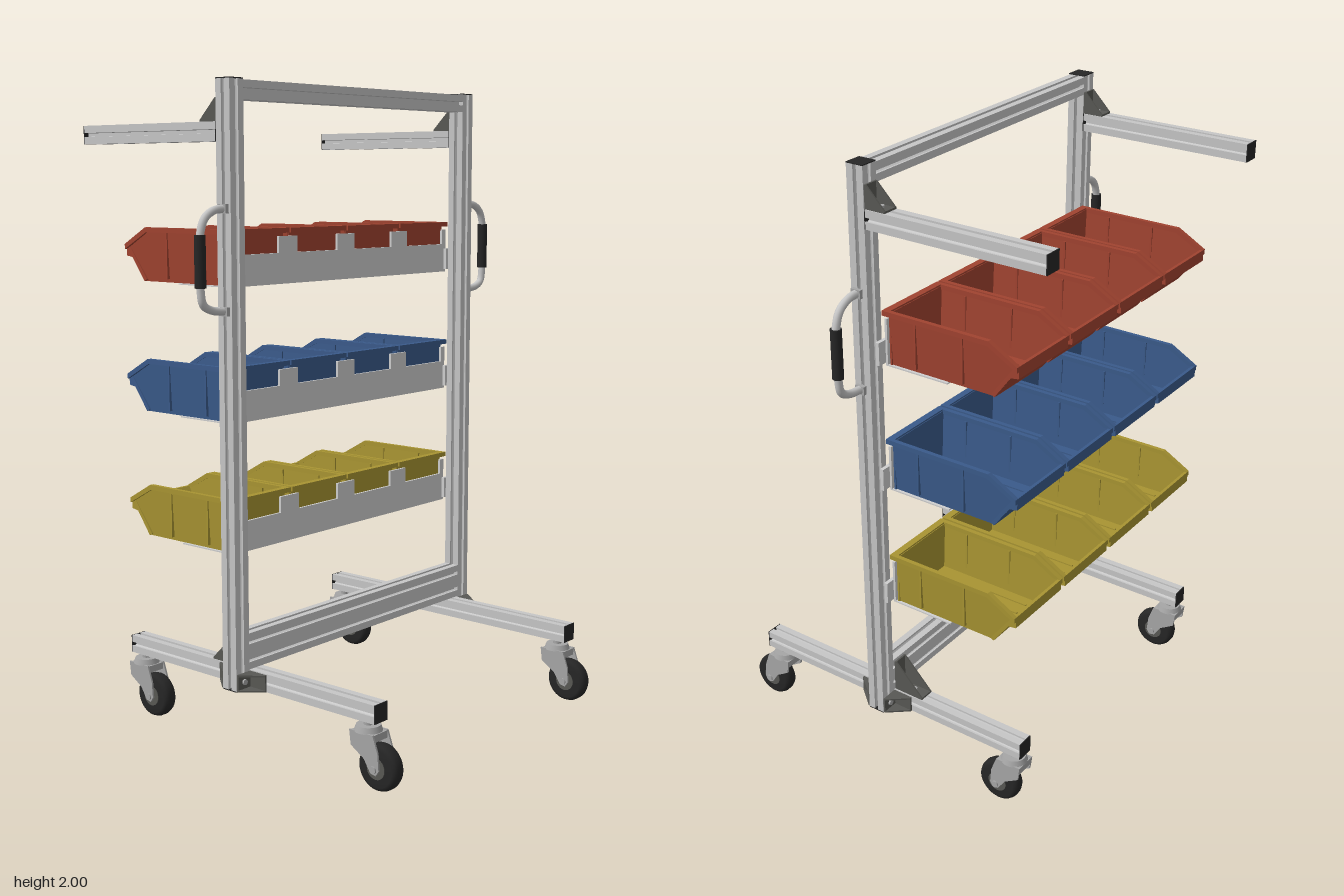
import * as THREE from 'three';

const material = (name, color) => {
  const m = new THREE.MeshStandardMaterial({ color });
  m.name = name;
  return m;
};

export function createModel() {
  const root = new THREE.Group();
  root.name = 'binTrolley';
  const aluminium = material('aluminium', 0xc6c6c6);
  const sheet = material('sheetGrey', 0xcfcfcf);
  const zinc = material('zincGrey', 0xa6a6a6);
  const black = material('black', 0x262626);
  const bracketGrey = material('bracketGrey', 0x585854);
  const red = material('red', 0xa04330);
  const blue = material('blue', 0x3a5a8a);
  const yellow = material('yellow', 0xa89432);

  const add = (parent, name, geo, mat, x = 0, y = 0, z = 0) => {
    const m = new THREE.Mesh(geo, mat);
    m.name = name;
    m.position.set(x, y, z);
    parent.add(m);
    return m;
  };
  const group = (name, parent = root) => {
    const g = new THREE.Group();
    g.name = name;
    parent.add(g);
    return g;
  };
  const box = (w, h, d) => new THREE.BoxGeometry(w, h, d);
  const cyl = (r, h, n = 24, r2 = r) => new THREE.CylinderGeometry(r2, r, h, n);
  const shapeOf = pts => new THREE.Shape(pts.map(p => new THREE.Vector2(...p)));
  // Flat outline in xy, thickened evenly about z = 0
  const prism = (shape, depth) => {
    const s = Array.isArray(shape) ? shapeOf(shape) : shape;
    return new THREE.ExtrudeGeometry(s, { depth, bevelEnabled: false }).translate(0, 0, -depth / 2);
  };

  // Slotted aluminium profile with optional black end caps
  const S = 0.056;
  const side = [[-0.028, -0.028], [-0.006, -0.028], [-0.006, -0.022], [-0.011, -0.022],
    [-0.005, -0.012], [0.005, -0.012], [0.011, -0.022], [0.006, -0.022], [0.006, -0.028]];
  const section = [];
  for (let k = 0; k < 4; k++) {
    const c = [1, 0, -1, 0][k], s = [0, 1, 0, -1][k];
    for (const [x, y] of side) section.push([x * c - y * s, x * s + y * c]);
  }
  const bar = (name, axis, from, to, pos, caps = true) => {
    const g = group(name);
    const len = to - from;
    add(g, 'profile', prism(section, len - (caps ? 0.006 : 0)), aluminium);
    if (caps) for (const e of [-1, 1]) add(g, 'endCap', box(S, S, 0.003), black, 0, 0, e * (len / 2 - 0.0015));
    if (axis === 'x') g.rotation.y = Math.PI / 2;
    if (axis === 'y') g.rotation.x = -Math.PI / 2;
    g.position.set(...pos);
    g.position[axis] = (from + to) / 2;
  };

  // Angle bracket: two legs along directions u and v, closed by triangular cheeks
  const gusset = (name, pos, u, v, size, width, size2 = size) => {
    const g = group(name);
    const t = 0.006;
    add(g, 'legU', box(size, t, width), bracketGrey, size / 2, t / 2, 0);
    add(g, 'legV', box(t, size2, width), bracketGrey, t / 2, size2 / 2, 0);
    for (const e of [-1, 1]) {
      add(g, 'cheek', prism([[0, 0], [size, 0], [size, t], [t, size2], [0, size2]], 0.005),
        bracketGrey, 0, 0, e * (width / 2 - 0.0025));
    }
    add(g, 'screw', cyl(0.009, 0.008, 12), zinc, size * 0.55, t + 0.002, 0);
    const U = new THREE.Vector3(...u), V = new THREE.Vector3(...v);
    g.setRotationFromMatrix(new THREE.Matrix4().makeBasis(U, V, U.clone().cross(V)));
    g.position.set(...pos);
  };

  // Swivel caster, trailing towards +x
  const caster = (x, z) => {
    const g = group('caster');
    g.position.set(x, 0, z);
    add(g, 'stem', cyl(0.014, 0.03), zinc, 0, 0.19, 0);
    add(g, 'swivelHead', cyl(0.042, 0.018, 24, 0.036), zinc, 0, 0.176, 0);
    add(g, 'forkCrown', box(0.085, 0.022, 0.068), zinc, 0.002, 0.157, 0);
    const cheek = [[-0.042, 0.17], [0.044, 0.17], [0.062, 0.12], [0.066, 0.07],
      [0.055, 0.054], [0.036, 0.058], [0.012, 0.095], [-0.036, 0.125]];
    for (const e of [-1, 1]) add(g, 'forkCheek', prism(cheek, 0.006), zinc, 0, 0, e * 0.033);
    const wheel = group('wheel', g);
    wheel.position.set(0.047, 0.07, 0);
    wheel.rotation.x = Math.PI / 2;
    add(wheel, 'tyre', new THREE.LatheGeometry([[0, -0.024], [0.056, -0.024], [0.066, -0.018], [0.07, -0.008],
      [0.07, 0.008], [0.066, 0.018], [0.056, 0.024], [0, 0.024]].map(p => new THREE.Vector2(...p)), 32), black);
    add(wheel, 'hub', cyl(0.032, 0.052), bracketGrey);
    add(wheel, 'axle', cyl(0.011, 0.082, 12), zinc);
  };

  // Side frames
  const X = 0.004;
  for (const s of [-1, 1]) {
    const zo = s * 0.554, zi = s * 0.493;
    bar('upright', 'y', 0.2, 2, [X, 0, zo]);
    bar('topArm', 'x', -0.604, X - S / 2, [0, 1.85, zo]);
    bar('baseRail', 'x', -0.504, 0.516, [0, 0.228, zi]);
    gusset('armBracket', [X - S / 2, 1.878, zo], [-1, 0, 0], [0, 1, 0], 0.068, 0.05);
    gusset('beamBracket', [X - S / 2, 0.256, zi], [-1, 0, 0], [0, 1, 0], 0.105, 0.05);
    for (const e of [-1, 1]) {
      gusset('railBracket', [X + e * S / 2, 0.228, s * 0.523], [0, 0, s], [e, 0, 0], 0.057, 0.052, 0.068);
    }
    caster(-0.465, zi);
    caster(0.47, zi);

    // Push handle with grip
    const h = group('handle');
    const path = new THREE.CatmullRomCurve3([[0.58, 1.632], [0.625, 1.628], [0.663, 1.605], [0.682, 1.555],
      [0.684, 1.485], [0.682, 1.405], [0.672, 1.362], [0.64, 1.345], [0.58, 1.338]]
      .map(([z, y]) => new THREE.Vector3(0.008, y, s * z)));
    add(h, 'handleTube', new THREE.TubeGeometry(path, 48, 0.012, 12), aluminium);
    add(h, 'grip', cyl(0.0165, 0.15), black, 0.008, 1.485, s * 0.682);
    for (const y of [1.632, 1.338]) add(h, 'handleFoot', box(0.032, 0.026, 0.012), zinc, 0.008, y, s * 0.588);
  }

  // Cross members
  bar('topBeam', 'z', -0.526, 0.526, [X, 1.967, 0], false);
  for (const y of [0.286, 0.342]) bar('bottomBeam', 'z', -0.526, 0.526, [X, y, 0], false);

  // Open-fronted storage bin; origin under the back
  const bin = (parent, mat, z) => {
    const g = group('bin', parent);
    g.position.z = z;
    const wall = prism([[-0.405, 0], [-0.05, 0], [-0.05, 0.16], [-0.39, 0.16], [-0.478, 0.108], [-0.478, 0.078], [-0.458, 0.072]], 0.005);
    const rim = prism([[-0.484, 0.112], [-0.39, 0.165], [-0.03, 0.165], [-0.03, 0.15], [-0.386, 0.15], [-0.484, 0.096]], 0.014);
    for (const s of [-1, 1]) {
      const w = add(g, 'sideWall', wall, mat, 0, 0, s * 0.113);
      w.rotation.x = s * 0.05;
      add(g, 'sideRim', rim, mat, 0, 0, s * 0.123);
      for (const x of [-0.3, -0.14]) add(g, 'sideRib', box(0.006, 0.14, 0.014), mat, x, 0.08, s * 0.119);
    }
    add(g, 'frontWall', prism([[-0.405, 0], [-0.458, 0.072], [-0.484, 0.076], [-0.484, 0.112],
      [-0.474, 0.112], [-0.394, 0.006]], 0.244), mat);
    add(g, 'floor', box(0.356, 0.006, 0.23), mat, -0.228, 0.003, 0);
    add(g, 'backWall', box(0.006, 0.16, 0.24), mat, -0.051, 0.08, 0);
    add(g, 'backRim', box(0.022, 0.015, 0.25), mat, -0.041, 0.1575, 0);
    for (let i = 0; i < 4; i++) add(g, 'floorRib', box(0.31, 0.004, 0.006), mat, -0.235, 0.008, -0.075 + i * 0.05);
  };

  // Shelf sheet: back plate with tabs between the bins, slotted floor
  const outline = [[-0.525, 0], [0.525, 0], [0.525, 0.14], [0.506, 0.14], [0.506, 0.09]];
  for (const c of [0.27, 0, -0.27]) outline.push([c + 0.041, 0.09], [c + 0.041, 0.14], [c - 0.041, 0.14], [c - 0.041, 0.09]);
  outline.push([-0.506, 0.09], [-0.506, 0.14], [-0.525, 0.14]);
  const backPlate = prism(outline, 0.008).rotateY(Math.PI / 2);
  const floorShape = shapeOf([[-0.525, 0.036], [0.525, 0.036], [0.525, 0.25], [-0.525, 0.25]]);
  for (let i = 0; i < 8; i++) {
    for (const d of [0.1, 0.17]) {
      const x = -0.47 + i * 0.134;
      floorShape.holes.push(new THREE.Path([[x - 0.03, d], [x - 0.03, d + 0.012], [x + 0.03, d + 0.012], [x + 0.03, d]]
        .map(p => new THREE.Vector2(...p))));
    }
  }
  const floorPlate = prism(floorShape, 0.004).rotateX(Math.PI / 2).rotateY(-Math.PI / 2);

  for (const [name, mat, y] of [['redShelf', red, 1.405], ['blueShelf', blue, 1.0], ['yellowShelf', yellow, 0.603]]) {
    const g = group(name);
    g.position.y = y;
    add(g, 'shelfBack', backPlate, sheet, -0.039, 0, 0);
    add(g, 'shelfFloor', floorPlate, sheet, 0, -0.002, 0);
    for (const s of [-1, 1]) add(g, 'shelfMount', box(0.012, 0.07, 0.04), sheet, -0.03, 0.04, s * 0.535);
    for (let i = 0; i < 4; i++) bin(g, mat, -0.4005 + i * 0.267);
  }
  return root;
}
